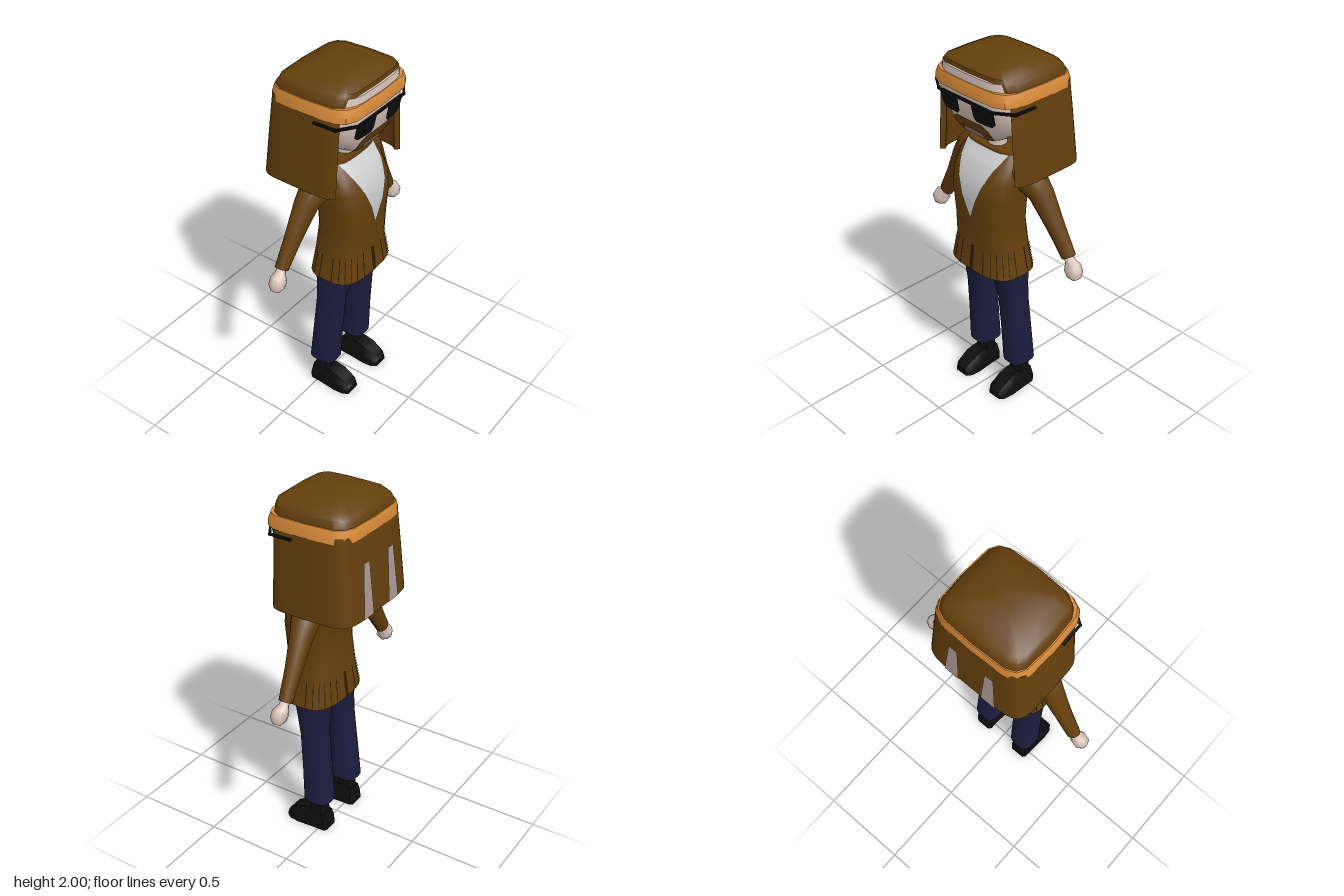
import * as THREE from 'three';
import { toCreasedNormals } from 'three/addons/utils/BufferGeometryUtils.js';

const BROWN = 0x643f0c, ORANGE = 0xdb8c3a, SKIN = 0xd8c4ba, NAVY = 0x1d1d40, BLACK = 0x0d0d0d, WHITE = 0xcccccc;
const V = (x, y, z) => new THREE.Vector3(x, y, z);

// Profiles are rows of [y, half width, front z, back z]; sections are rounded boxes of power n.
const TORSO = [[0.805, 0.226, 0.245, -0.067], [0.95, 0.197, 0.226, -0.048], [1.1, 0.19, 0.235, -0.03], [1.25, 0.2, 0.245, -0.035],
  [1.35, 0.205, 0.233, -0.06], [1.43, 0.2, 0.19, -0.08], [1.495, 0.175, 0.13, -0.045]];
const HEAD = [[1.56, 0.08, 0.15, -0.05], [1.585, 0.14, 0.195, -0.15], [1.63, 0.205, 0.215, -0.2], [1.7, 0.255, 0.24, -0.2],
  [1.78, 0.272, 0.256, -0.2], [1.86, 0.262, 0.256, -0.2], [1.925, 0.245, 0.25, -0.19]];
const CAP = [[1.86, 0.265, 0.232, -0.222], [1.89, 0.265, 0.235, -0.222], [1.925, 0.252, 0.238, -0.205], [1.945, 0.235, 0.235, -0.18],
  [1.975, 0.175, 0.195, -0.125], [1.992, 0.1, 0.14, -0.07], [2.0, 0.05, 0.09, -0.03]];
const BAND = [[1.82, 0.285, 0.268, -0.235], [1.852, 0.283, 0.268, -0.235], [1.887, 0.272, 0.258, -0.228]];
const CURTAIN = [[1.4, 0.312, 0.225, -0.264], [1.7, 0.288, 0.225, -0.24], [1.85, 0.276, 0.225, -0.226]];
const LEG = [[0.18, 0.072, 0.103, -0.057], [0.4, 0.073, 0.112, -0.035], [0.6, 0.075, 0.125, -0.015],
  [0.7, 0.08, 0.145, -0.015], [0.77, 0.092, 0.16, -0.02], [0.85, 0.098, 0.175, -0.025]];
const LEG_X = [0.136, 0.13, 0.124, 0.118, 0.107, 0.1];

const spow = (v, p) => Math.sign(v) * Math.abs(v) ** p;

// Profile row interpolated at height y
function rowAt(profile, y) {
  let i = 0;
  while (i < profile.length - 2 && y > profile[i + 1][0]) i++;
  const [a, b] = [profile[i], profile[i + 1]];
  return a.map((v, k) => THREE.MathUtils.lerp(v, b[k], (y - a[0]) / (b[0] - a[0])));
}

// Point on a profile's surface at height y and angle t (front is PI / 2)
function onSurface(profile, n, y, t, off = 0) {
  const [, hx, zf, zb] = rowAt(profile, y);
  return V((hx + off) * spow(Math.cos(t), 2 / n), y, (zf + zb) / 2 + ((zf - zb) / 2 + off) * spow(Math.sin(t), 2 / n));
}

const mat = (color) => new THREE.MeshStandardMaterial({ color, side: THREE.DoubleSide });
function add(parent, name, geometry, color) {
  const m = new THREE.Mesh(geometry, mat(color));
  m.name = name;
  parent.add(m);
  return m;
}

// Closed skin over a list of rings, turned so that it faces outward
function loft(rings, crease = 0.6) {
  const pts = rings.flat(), k = rings[0].length, tris = [];
  for (let r = 0; r < rings.length - 1; r++) for (let i = 0; i < k; i++) {
    const a = r * k + i, b = r * k + (i + 1) % k;
    tris.push([a, a + k, b], [b, a + k, b + k]);
  }
  const last = (rings.length - 1) * k;
  for (let i = 1; i < k - 1; i++) tris.push([0, i, i + 1], [last, last + i + 1, last + i]);
  const centre = pts.reduce((s, p) => s.add(p), V(0, 0, 0)).divideScalar(pts.length);
  const rel = pts.map((p) => p.clone().sub(centre));
  const volume = tris.reduce((s, [a, b, c]) => s + rel[a].dot(rel[b].clone().cross(rel[c])), 0);
  const g = new THREE.BufferGeometry().setFromPoints(pts);
  g.setIndex(tris.flatMap(([a, b, c]) => (volume < 0 ? [a, c, b] : [a, b, c])));
  return toCreasedNormals(g, crease);
}

function profileLoft(profile, n, sides = 16, xs = null) {
  return loft(profile.map(([y], r) => Array.from({ length: sides }, (_, i) =>
    onSurface(profile, n, y, i / sides * Math.PI * 2).add(V(xs ? xs[r] : 0, 0, 0)))));
}

// Tapered tube through rows of [x, y, z, radius in the xy plane, radius in z]
function limb(rows, sides = 10) {
  return loft(rows.map(([x, y, z, r, rz], i) => {
    const a = rows[Math.max(i - 1, 0)], b = rows[Math.min(i + 1, rows.length - 1)];
    const across = V(a[1] - b[1], b[0] - a[0], 0).normalize();
    return Array.from({ length: sides }, (_, j) => {
      const t = j / sides * Math.PI * 2;
      return V(x, y, z + rz * Math.sin(t)).addScaledVector(across, r * Math.cos(t));
    });
  }), 0.9);
}

// Thin patch lying on a profile; rows are [y, x from, x to]; side 1 is the front, -1 the back
function patch(profile, n, rows, side = 1, off = 0.008) {
  const cols = 8, steps = 4, pts = [], index = [];
  const lines = rows.slice(1).flatMap((b, r) => Array.from({ length: steps }, (_, s) =>
    rows[r].map((v, k) => THREE.MathUtils.lerp(v, b[k], s / steps)))).concat([rows.at(-1)]);
  lines.forEach(([y, x0, x1], r) => {
    for (let c = 0; c <= cols; c++) {
      const x = THREE.MathUtils.lerp(x0, x1, c / cols);
      const t = Math.acos(spow(x / (rowAt(profile, y)[1] + off), n / 2));
      pts.push(onSurface(profile, n, y, side * t, off));
      if (r && c) {
        const d = r * (cols + 1) + c, b = d - cols - 1;
        index.push(...(side > 0 ? [b - 1, d - 1, b, b, d - 1, d] : [b - 1, b, d - 1, b, d, d - 1]));
      }
    }
  });
  const g = new THREE.BufferGeometry().setFromPoints(pts);
  g.setIndex(index);
  g.computeVertexNormals();
  return g;
}

// Straight square bar between two points
function bar(parent, name, a, b, size) {
  const m = add(parent, name, new THREE.BoxGeometry(size, size, a.distanceTo(b) + size), BLACK);
  m.position.copy(a).lerp(b, 0.5);
  m.lookAt(b);
}

export function createModel() {
  const g = new THREE.Group();
  g.name = 'figure';

  // Jacket, shirt front and neck
  add(g, 'jacket', profileLoft(TORSO, 3, 24), BROWN);
  add(g, 'shirt', patch(TORSO, 3, [[1.495, -0.148, 0.148], [1.43, -0.124, 0.124], [1.25, -0.052, 0.052], [1.12, 0, 0]]), WHITE);
  add(g, 'neck', new THREE.CylinderGeometry(0.05, 0.05, 0.16, 10), SKIN).position.set(0, 1.53, 0.05);

  // Fringe slits around the jacket hem
  const fringe = new THREE.Group();
  fringe.name = 'fringe';
  g.add(fringe);
  for (let i = 0; i < 26; i++) {
    const t = (i + 0.5) / 26 * Math.PI * 2, w = 0.014;
    const p = [[0.81, -w], [0.81, w], [0.955, w], [0.955, -w]].map(([y, d]) => onSurface(TORSO, 3, y, t + d, 0.003));
    const slit = new THREE.BufferGeometry().setFromPoints(p);
    slit.setIndex([0, 2, 1, 0, 3, 2]);
    slit.computeVertexNormals();
    add(fringe, 'slit', slit, 0x2a1a05);
  }

  // Head and facial hair
  add(g, 'head', profileLoft(HEAD, 4, 24), SKIN);
  add(g, 'moustache', patch(HEAD, 4, [[1.682, -0.09, 0.09], [1.655, -0.125, 0.125], [1.622, -0.132, 0.132]]), BROWN);
  add(g, 'mouth', patch(HEAD, 4, [[1.622, -0.07, 0.07], [1.587, -0.075, 0.075]], 1, 0.005), 0x8d7d76);

  // Hair: crown, headband and a curtain around the sides and back
  add(g, 'crown', profileLoft(CAP, 5), BROWN);
  add(g, 'headband', profileLoft(BAND, 5), ORANGE);
  const turns = Array.from({ length: 25 }, (_, i) => Math.PI * (0.25 - 1.5 * i / 24));
  add(g, 'hairCurtain', loft(turns.map((t) => [
    ...[1.4, 1.7, 1.85].map((y) => onSurface(CURTAIN, 6, y, t)),
    ...[1.85, 1.7, 1.4].map((y) => onSurface(CURTAIN, 6, y, t, -0.025))])), BROWN);

  // Sunglasses frame
  const frame = [V(-0.286, 1.792, 0.08), V(-0.282, 1.792, 0.2), V(-0.19, 1.792, 0.263),
    V(0.19, 1.792, 0.263), V(0.282, 1.792, 0.2), V(0.286, 1.792, 0.08)];
  for (let i = 0; i < 5; i++) bar(g, 'glassesFrame', frame[i], frame[i + 1], 0.012);

  for (const s of [1, -1]) {
    const side = s > 0 ? 'left' : 'right';
    const span = (rows) => rows.map(([y, a, b]) => (s > 0 ? [y, a, b] : [y, -b, -a]));
    const xs = (rows) => rows.map(([x, ...rest]) => [s * x, ...rest]);

    // Lenses, beard ends and pale strips in the back hair
    add(g, side + 'Lens', patch(HEAD, 4, span([[1.792, 0.048, 0.192], [1.72, 0.05, 0.19], [1.698, 0.068, 0.168]]), 1, 0.012), BLACK);
    add(g, side + 'BeardEnd', patch(HEAD, 4, span([[1.622, 0.07, 0.132], [1.59, 0.075, 0.128]])), BROWN);
    add(g, side + 'HairStrip', patch(CURTAIN, 6, span([[1.69, 0.085, 0.137], [1.402, 0.072, 0.162]]), -1, 0.005), 0xaa9a92);

    // Sleeve and hand
    add(g, side + 'Sleeve', limb(xs([[0.13, 1.415, 0.045, 0.085, 0.1], [0.2, 1.385, 0.04, 0.095, 0.09], [0.285, 1.297, 0.02, 0.073, 0.062],
      [0.38, 1.14, 0.008, 0.053, 0.045], [0.467, 1, 0, 0.041, 0.036]])), BROWN);
    add(g, side + 'Hand', limb(xs([[0.46, 1.01, 0, 0.024, 0.024], [0.478, 0.985, 0.002, 0.027, 0.027], [0.5, 0.955, 0.006, 0.05, 0.043],
      [0.52, 0.925, 0.008, 0.046, 0.043], [0.535, 0.9, 0.008, 0.022, 0.025]]), 8), SKIN);

    // Trouser leg
    add(g, side + 'Leg', profileLoft(LEG, 3, 16, LEG_X.map((x) => s * x)), NAVY);

    // Shoe: rows of [z, half width, height], with an ankle shaft
    const foot = [[-0.05, 0.04, 0.05], [-0.035, 0.054, 0.1], [0.03, 0.056, 0.115], [0.08, 0.06, 0.112],
      [0.13, 0.064, 0.1], [0.185, 0.058, 0.07], [0.212, 0.04, 0.035]];
    add(g, side + 'Shoe', loft(foot.map(([z, w, h]) =>
      [[-1, 0], [1, 0], [1, 0.55], [0.65, 1], [-0.65, 1], [-1, 0.55]].map(([a, b]) => V(s * 0.138 + a * w, b * h, z)))), BLACK);
    add(g, side + 'Ankle', profileLoft([[0.06, 0.054, 0.085, -0.04], [0.12, 0.05, 0.065, -0.027], [0.2, 0.046, 0.065, -0.025]], 2.6, 10,
      [s * 0.138, s * 0.138, s * 0.138]), BLACK);
  }
  return g;
}
